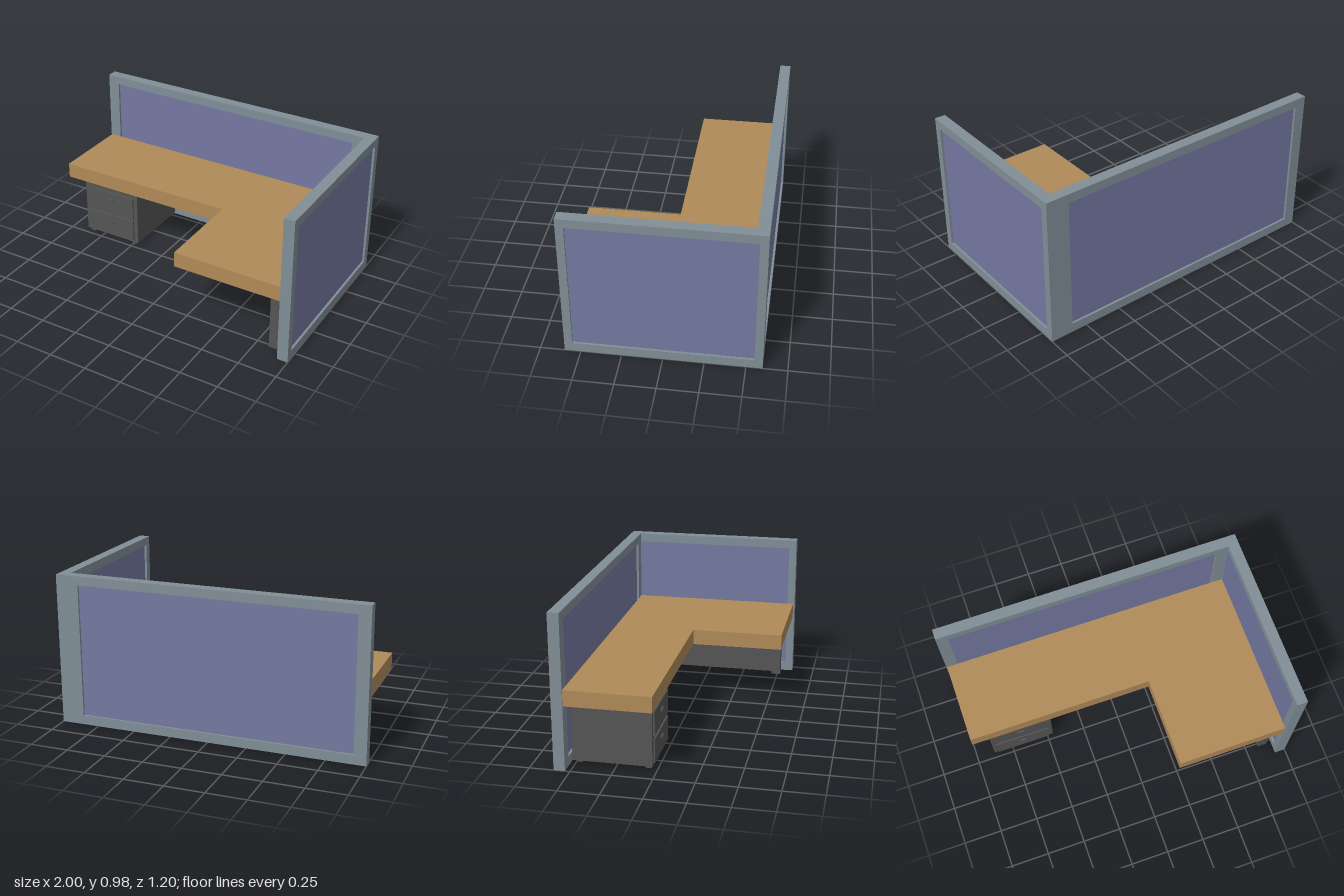
import * as THREE from 'three';

const mat = (color) => new THREE.MeshStandardMaterial({ color });

export function createModel() {
  const root = new THREE.Group();
  const frameMat = mat(0x808e96), fabricMat = mat(0x7478a0);
  const woodMat = mat(0xb08a58), metalMat = mat(0x555555);

  // Box given by its minimum and maximum corners
  function box(parent, name, material, [x0, y0, z0], [x1, y1, z1]) {
    const mesh = new THREE.Mesh(new THREE.BoxGeometry(x1 - x0, y1 - y0, z1 - z0), material);
    mesh.position.set((x0 + x1) / 2, (y0 + y1) / 2, (z0 + z1) / 2);
    mesh.name = name;
    parent.add(mesh);
    return mesh;
  }

  // Partition wall: frame with an opening and a recessed fabric infill
  const height = 0.975, thick = 0.07, recess = 0.015;
  function partition(name, u0, u1, border) {
    const group = new THREE.Group();
    group.name = name;
    const rect = (C, a, b, c, d) => {
      const s = new C();
      s.moveTo(a, b).lineTo(c, b).lineTo(c, d).lineTo(a, d).closePath();
      return s;
    };
    const outline = rect(THREE.Shape, u0, 0, u1, height);
    outline.holes.push(rect(THREE.Path, u0 + border, 0.06, u1 - border, 0.918));
    const geo = new THREE.ExtrudeGeometry(outline, { depth: thick, bevelEnabled: false });
    geo.translate(0, 0, -thick / 2);
    const frame = new THREE.Mesh(geo, frameMat);
    frame.name = name + 'Frame';
    group.add(frame);
    const t = thick / 2 - recess;
    box(group, name + 'Fabric', fabricMat, [u0 + border, 0.06, -t], [u1 - border, 0.918, t]);
    root.add(group);
    return group;
  }
  partition('backPartition', -1, 0.93, 0.078).position.z = -0.565;
  const side = partition('sidePartition', -0.6, 0.6, 0.05);
  side.rotation.y = -Math.PI / 2;
  side.position.x = 0.965;

  // L-shaped worktop, drawn in plan with shape y = -z
  const plan = new THREE.Shape([
    [-0.995, 0.53], [-0.995, 0], [0.215, 0], [0.215, -0.59], [0.93, -0.59], [0.93, 0.53],
  ].map(([x, y]) => new THREE.Vector2(x, y)));
  const topGeo = new THREE.ExtrudeGeometry(plan, { depth: 0.1, bevelEnabled: false });
  topGeo.rotateX(-Math.PI / 2);
  const top = new THREE.Mesh(topGeo, woodMat);
  top.name = 'worktop';
  top.position.y = 0.41;
  root.add(top);

  // Drawer pedestal
  const cabinet = new THREE.Group();
  cabinet.name = 'drawerCabinet';
  root.add(cabinet);
  box(cabinet, 'cabinetBody', metalMat, [-0.88, 0.018, -0.52], [-0.46, 0.41, -0.03]);
  for (const y of [0.03, 0.205]) {
    box(cabinet, 'drawerFront', metalMat, [-0.85, y, -0.035], [-0.49, y + 0.155, -0.02]);
    box(cabinet, 'drawerHandle', metalMat, [-0.692, y + 0.092, -0.025], [-0.647, y + 0.107, -0.01]);
  }
  for (const x of [-0.86, -0.515]) {
    for (const z of [-0.5, -0.075]) {
      box(cabinet, 'cabinetFoot', metalMat, [x, 0, z], [x + 0.035, 0.02, z + 0.035]);
    }
  }

  // Panel leg beside the side partition
  const leg = new THREE.Group();
  leg.name = 'panelLeg';
  root.add(leg);
  box(leg, 'legPanel', metalMat, [0.835, 0.02, -0.52], [0.9, 0.41, 0.52]);
  for (const z of [-0.52, 0.46]) {
    box(leg, 'legFoot', metalMat, [0.835, 0, z], [0.9, 0.02, z + 0.06]);
  }
  return root;
}
